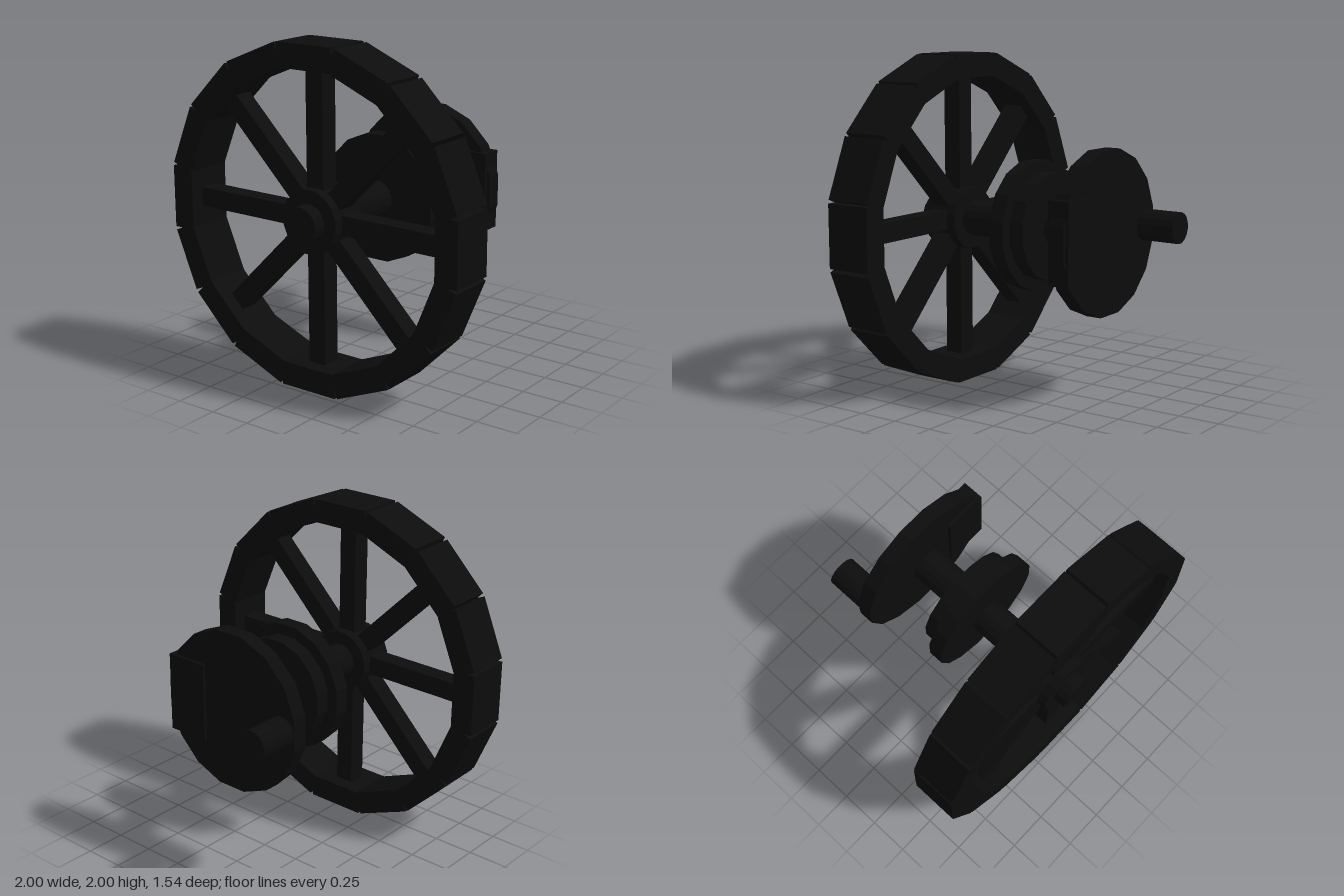
import * as THREE from 'three';

export function createModel() {
  const group = new THREE.Group();
  const blackIron = new THREE.MeshStandardMaterial({ color: 0x0c0c0c, flatShading: true });
  const axleY = 1, wheelZ = 0.575;

  const add = (name, geometry, parent = group) => {
    const mesh = new THREE.Mesh(geometry, blackIron);
    mesh.name = name;
    parent.add(mesh);
    return mesh;
  };

  // Cylinder along z between two depths, with a flat facet on top
  const disc = (name, radius, z0, z1, sides = 16, x = 0) => {
    const g = new THREE.CylinderGeometry(radius, radius, z1 - z0, sides);
    g.rotateY(Math.PI / sides).rotateX(Math.PI / 2);
    add(name, g).position.set(x, axleY, (z0 + z1) / 2);
  };

  // Flywheel: rim of straight blocks and eight spokes
  const flywheel = new THREE.Group();
  flywheel.name = 'flywheel';
  flywheel.position.set(0, axleY, wheelZ);
  group.add(flywheel);
  const rimBlock = new THREE.BoxGeometry(0.376, 0.142, 0.288).translate(0, 0.929, 0);
  const spoke = new THREE.BoxGeometry(0.115, 0.8, 0.115).translate(0, 0.48, 0);
  for (let i = 0; i < 16; i++) {
    const angle = (i * Math.PI) / 8;
    add('rimBlock', rimBlock, flywheel).rotation.z = angle;
    if (i % 2 === 0) add('spoke', spoke, flywheel).rotation.z = angle;
  }
  disc('hub', 0.19, 0.46, 0.69);

  // Shaft and stepped pulley
  disc('shaft', 0.107, -0.44, 0.77);
  disc('largePulley', 0.39, -0.045, 0.05);
  disc('smallPulley', 0.322, -0.14, -0.04);

  // Crank disc with its pin and counterweight
  disc('crankDisc', 0.49, -0.53, -0.435);
  disc('crankPin', 0.094, -0.77, -0.52, 16, -0.385);
  add('counterweight', new THREE.BoxGeometry(0.268, 0.48, 0.134)).position.set(0.326, axleY, -0.481);

  return group;
}
